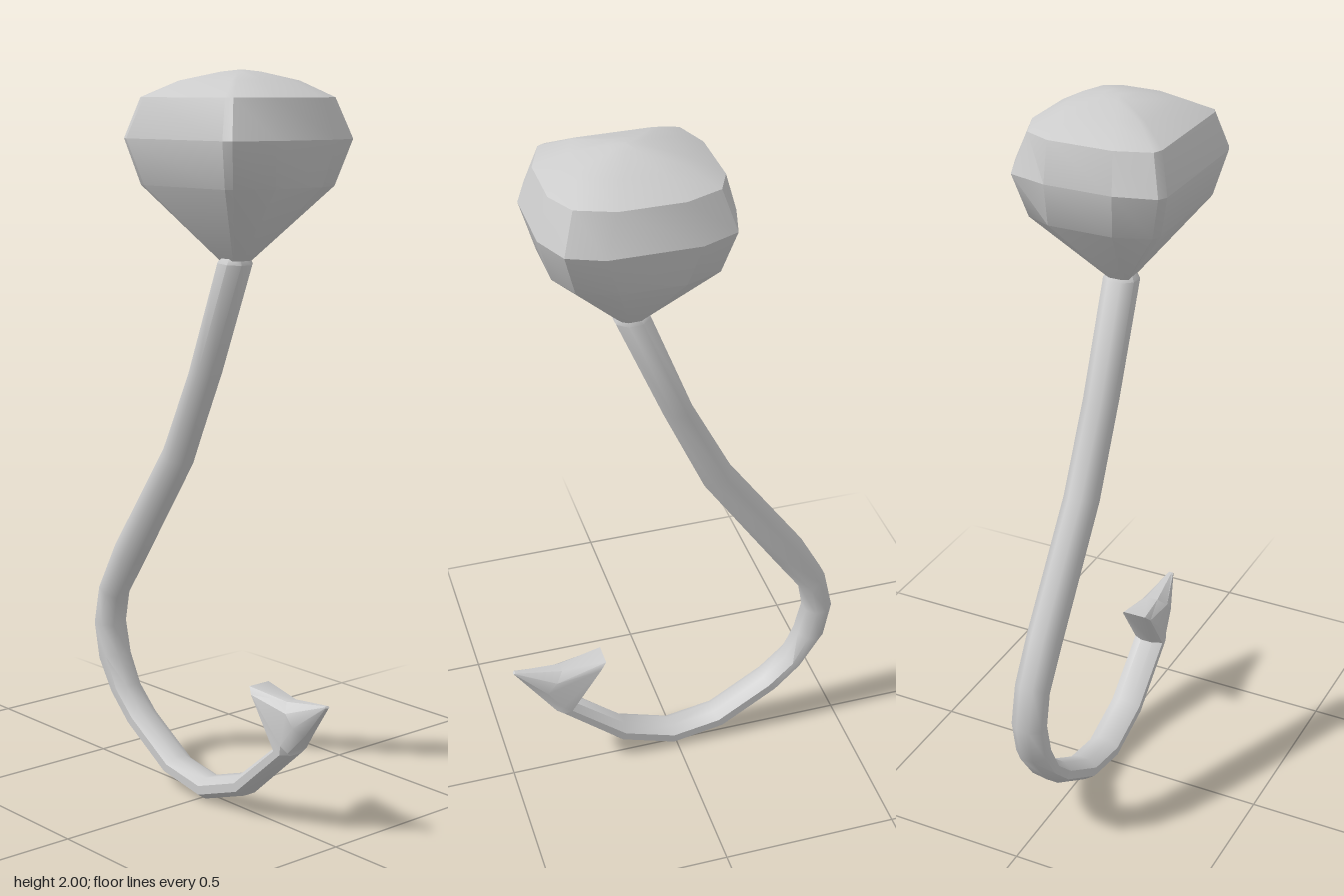
import * as THREE from 'three';
import { toCreasedNormals } from 'three/addons/utils/BufferGeometryUtils.js';

const material = new THREE.MeshStandardMaterial({ color: 0xcccccc });

// Skin a list of rings (arrays of Vector3), closing both ends with a fan.
function loft(rings, name, crease) {
  const middle = ring => {
    const c = new THREE.Vector3();
    ring.forEach(p => c.add(p));
    c.divideScalar(ring.length);
    return ring.map(() => c);
  };
  const all = [middle(rings[0]), ...rings, middle(rings[rings.length - 1])];
  const pos = [];
  const tri = (...points) => points.forEach(p => pos.push(p.x, p.y, p.z));
  for (let i = 0; i < all.length - 1; i++) {
    const n = all[i].length;
    for (let j = 0; j < n; j++) {
      const k = (j + 1) % n;
      const a = all[i][j], b = all[i][k], c = all[i + 1][k], d = all[i + 1][j];
      if (i < all.length - 2) tri(a, d, c);
      if (i > 0) tri(a, c, b);
    }
  }
  const geometry = new THREE.BufferGeometry();
  geometry.setAttribute('position', new THREE.Float32BufferAttribute(pos, 3));
  const mesh = new THREE.Mesh(toCreasedNormals(geometry, crease), material);
  mesh.name = name;
  return mesh;
}

// Eight-sided section between an outer and an inner edge point.
function section([ox, oy, ix, iy, halfDepth = 0.045, power = 1]) {
  const ring = [];
  const full = Math.cos(Math.PI / 8) ** power;
  const shape = v => Math.sign(v) * Math.abs(v) ** power / full;
  for (let j = 0; j < 8; j++) {
    const angle = (j + 0.5) * Math.PI / 4;
    const u = shape(Math.cos(angle)) / 2, w = shape(Math.sin(angle));
    ring.push(new THREE.Vector3(
      (ox + ix) / 2 + (ox - ix) * u,
      (oy + iy) / 2 + (oy - iy) * u,
      0.015 + halfDepth * w));
  }
  return ring;
}

// Horizontal ring of the knob; amount shrinks the outline about the axis.
function level(outline, y, amount = 1) {
  return outline.map(([x, z]) => new THREE.Vector3(
    0.12 + (x - 0.12) * amount, y, z * amount));
}

export function createModel() {
  const group = new THREE.Group();
  group.name = 'hook';

  // Faceted knob: neck, belly, girdle, bevel and low dome
  const girdle = [
    [-0.13, -0.085], [-0.10, -0.193], [0, -0.235], [0.24, -0.235],
    [0.332, -0.196], [0.374, -0.098], [0.374, 0.11], [0.332, 0.217],
    [0.306, 0.227], [-0.075, 0.227], [-0.10, 0.214], [-0.13, 0.103]];
  const shoulder = [
    [-0.10, -0.09], [-0.067, -0.162], [0.03, -0.20], [0.20, -0.20],
    [0.30, -0.162], [0.34, -0.08], [0.34, 0.08], [0.30, 0.186],
    [0.28, 0.196], [-0.04, 0.196], [-0.067, 0.185], [-0.10, 0.09]];
  const neck = shoulder.map(([x, z]) => {
    const r = Math.hypot(x - 0.12, z);
    return new THREE.Vector3(0.115 + (x - 0.12) / r * 0.042, 1.51, 0.015 + z / r * 0.042);
  });
  group.add(loft([
    neck,
    level(shoulder, 1.705),
    level(girdle, 1.825),
    level(shoulder, 1.93),
    level(shoulder, 1.972, 0.62),
    level(shoulder, 1.995, 0.2),
    level(shoulder, 2, 0.02),
  ], 'knob', 0.55));

  // Shank and bend: outer x, y then inner x, y
  const shank = [
    [0.08, 1.518, 0.152, 1.518, 0.036],
    [0.066, 1.505, 0.159, 1.499],
    [-0.05, 1.20, 0.034, 1.196],
    [-0.167, 0.968, -0.082, 0.937],
    [-0.389, 0.656, -0.299, 0.619],
    [-0.452, 0.54, -0.384, 0.497],
    [-0.479, 0.418, -0.399, 0.413],
    [-0.458, 0.307, -0.378, 0.328],
    [-0.394, 0.217, -0.341, 0.243],
    [-0.315, 0.138, -0.272, 0.18],
    [-0.146, 0.032, -0.119, 0.085],
    [0.013, 0.002, 0.013, 0.063],
    [0.177, 0.058, 0.156, 0.111],
    [0.362, 0.222, 0.304, 0.233],
  ];
  group.add(loft(shank.map(section), 'shank', 0.9));

  // Barb flaring inward, then tapering to the point
  const barb = [
    [0.362, 0.222, 0.304, 0.233],
    [0.365, 0.233, 0.214, 0.381, 0.045, 0.3],
    [0.41, 0.286, 0.341, 0.365, 0.04],
    [0.48, 0.378, 0.475, 0.383, 0.007],
  ];
  group.add(loft(barb.map(section), 'barb', 0.7));

  return group;
}
